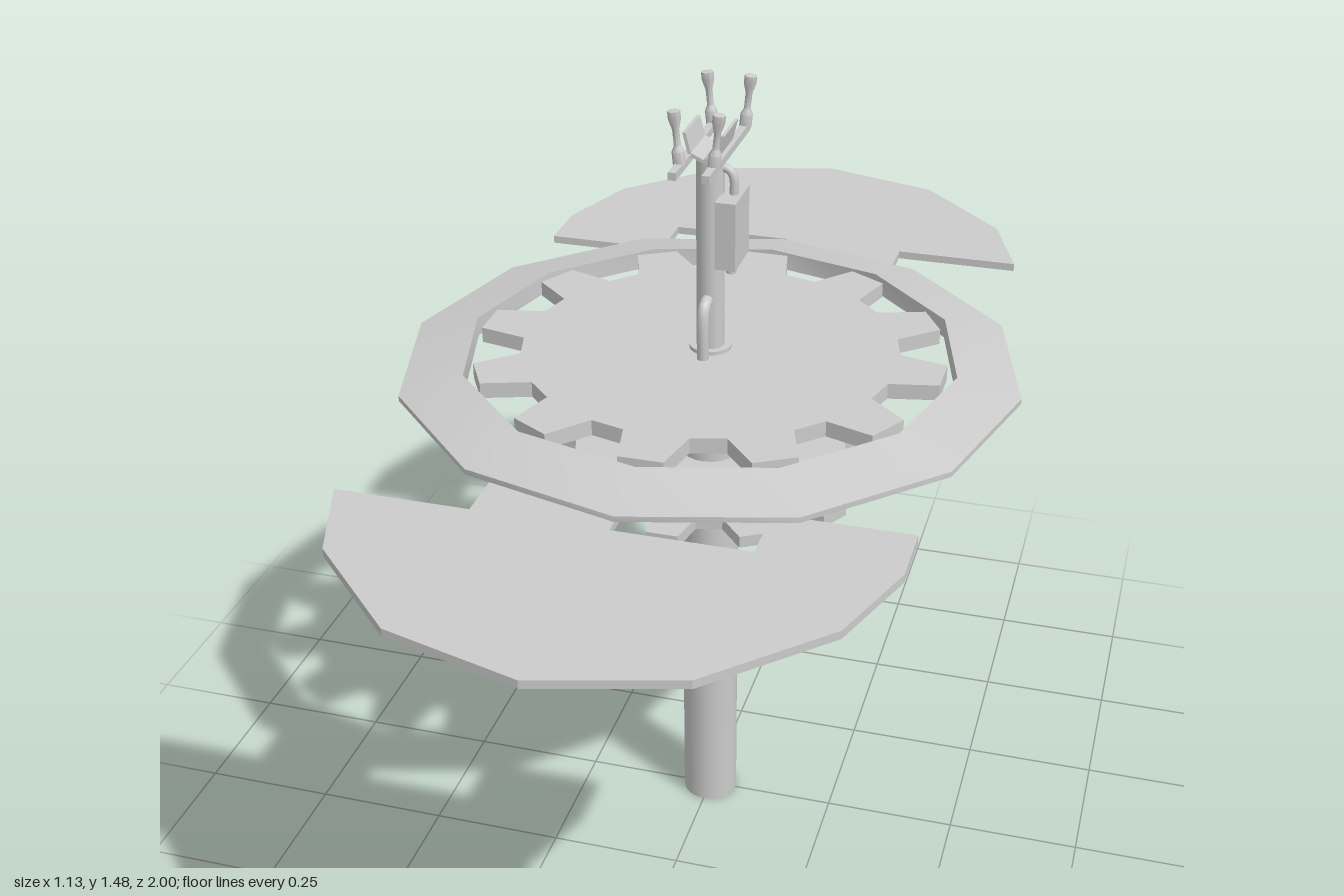
import * as THREE from 'three';
import { toCreasedNormals } from 'three/addons/utils/BufferGeometryUtils.js';

const material = new THREE.MeshStandardMaterial({ color: 0xcccccc, side: THREE.DoubleSide });

export function createModel() {
  const group = new THREE.Group();

  const add = (name, geometry, x = 0, y = 0, z = 0) => {
    const mesh = new THREE.Mesh(geometry, material);
    mesh.name = name;
    mesh.position.set(x, y, z);
    group.add(mesh);
    return mesh;
  };
  const cylinder = (name, rTop, rBottom, y0, y1, sides = 20, x = 0, z = 0) =>
    add(name, new THREE.CylinderGeometry(rTop, rBottom, y1 - y0, sides), x, (y0 + y1) / 2, z);
  // Flat plate from [x, z] points, lying between y0 and y1
  const plate = (name, points, y0, y1) => {
    const shape = new THREE.Shape(points.map(([x, z]) => new THREE.Vector2(x, -z)));
    const geometry = new THREE.ExtrudeGeometry(shape, { depth: y1 - y0, bevelEnabled: false });
    return add(name, geometry.rotateX(-Math.PI / 2), 0, y0, 0);
  };
  const tube = (name, points, radius) => {
    const curve = new THREE.CatmullRomCurve3(points.map((p) => new THREE.Vector3(...p)), false, 'centripetal');
    return add(name, new THREE.TubeGeometry(curve, 16, radius, 10));
  };

  // Posts and collars
  cylinder('mainPost', 0.053, 0.053, 0, 0.96);
  cylinder('lowerCollar', 0.068, 0.068, 0.953, 0.985);
  cylinder('upperCollar', 0.038, 0.038, 1.0, 1.013);
  cylinder('upperPost', 0.025, 0.025, 0.98, 1.375);

  // Gears with twelve tapered teeth
  const gear = (name, radius, y0, y1) => {
    const points = [];
    for (let i = 0; i < 12; i++) {
      for (const [r, degrees] of [[0.8, -9.7], [1, -5.3], [1, 5.3], [0.8, 9.7]]) {
        const a = THREE.MathUtils.degToRad(i * 30 + degrees);
        points.push([Math.cos(a) * r * radius, Math.sin(a) * r * radius]);
      }
    }
    plate(name, points, y0, y1);
  };
  gear('largeGear', 0.428, 0.977, 1.006);
  gear('smallGear', 0.316, 0.773, 0.795);

  // Twelve-sided ring sloping down to its rim
  const profile = [[0.45, 0.969], [0.565, 0.969], [0.565, 0.979], [0.45, 1.005], [0.45, 0.969]];
  const ring = new THREE.LatheGeometry(profile.map(([r, y]) => new THREE.Vector2(r, y)), 12);
  add('ring', toCreasedNormals(ring, 0.6));

  // Two notched blades, one turned half way round from the other
  const blade = [
    [0, 1], [0.235, 0.935], [0.41, 0.76], [0.47, 0.59], [0.47, 0.475], [0.235, 0.475], [0.235, 0.59],
    [0, 0.59], [0, 0.475], [-0.235, 0.475], [-0.235, 0.59], [-0.47, 0.59], [-0.41, 0.76], [-0.235, 0.935],
  ];
  plate('frontBlade', blade, 0.954, 0.969);
  plate('backBlade', blade, 0.954, 0.969).rotation.y = Math.PI;

  // Bent braces at the foot of the upper post
  for (const s of [-1, 1]) {
    tube('brace', [[0, 0.99, s * 0.05], [0, 1.08, s * 0.05], [0, 1.102, s * 0.042], [0, 1.11, s * 0.015]], 0.011);
  }

  // Canister on the side of the post, with its feed pipe and knob
  add('canister', new THREE.BoxGeometry(0.037, 0.125, 0.094), 0.039, 1.243, 0);
  tube('feedPipe', [[0.015, 1.352, 0], [0.032, 1.35, 0], [0.041, 1.338, 0], [0.042, 1.29, 0]], 0.008);
  cylinder('knobStem', 0.012, 0.012, 1.168, 1.185, 10, 0.038);
  cylinder('knob', 0.009, 0.009, 1.157, 1.168, 10, 0.038);

  // Trough-shaped saddle on top of the post
  const section = [
    [-0.037, 1.425], [-0.027, 1.385], [0, 1.373], [0.027, 1.385], [0.037, 1.425],
    [0.031, 1.425], [0.022, 1.39], [0, 1.38], [-0.022, 1.39], [-0.031, 1.425],
  ];
  const saddle = new THREE.Shape(section.map(([x, y]) => new THREE.Vector2(x, y)));
  add('saddle', new THREE.ExtrudeGeometry(saddle, { depth: 0.09, bevelEnabled: false }), 0, 0, -0.045);

  // Side rails, each with two outward-leaning grips
  for (const s of [-1, 1]) {
    add('rail', new THREE.BoxGeometry(0.014, 0.014, 0.27), s * 0.029, 1.381, 0);
    for (const z of [-0.12, 0.086]) {
      const grip = [[0, 0], [0.011, 0], [0.011, 0.024], [0.006, 0.034], [0.006, 0.062], [0.011, 0.08], [0.011, 0.094], [0, 0.097]];
      const geometry = new THREE.LatheGeometry(grip.map(([r, y]) => new THREE.Vector2(r, y)), 10);
      add('grip', toCreasedNormals(geometry, 0.7), s * 0.03, 1.384, z).rotation.z = -s * 0.1;
    }
  }
  return group;
}
